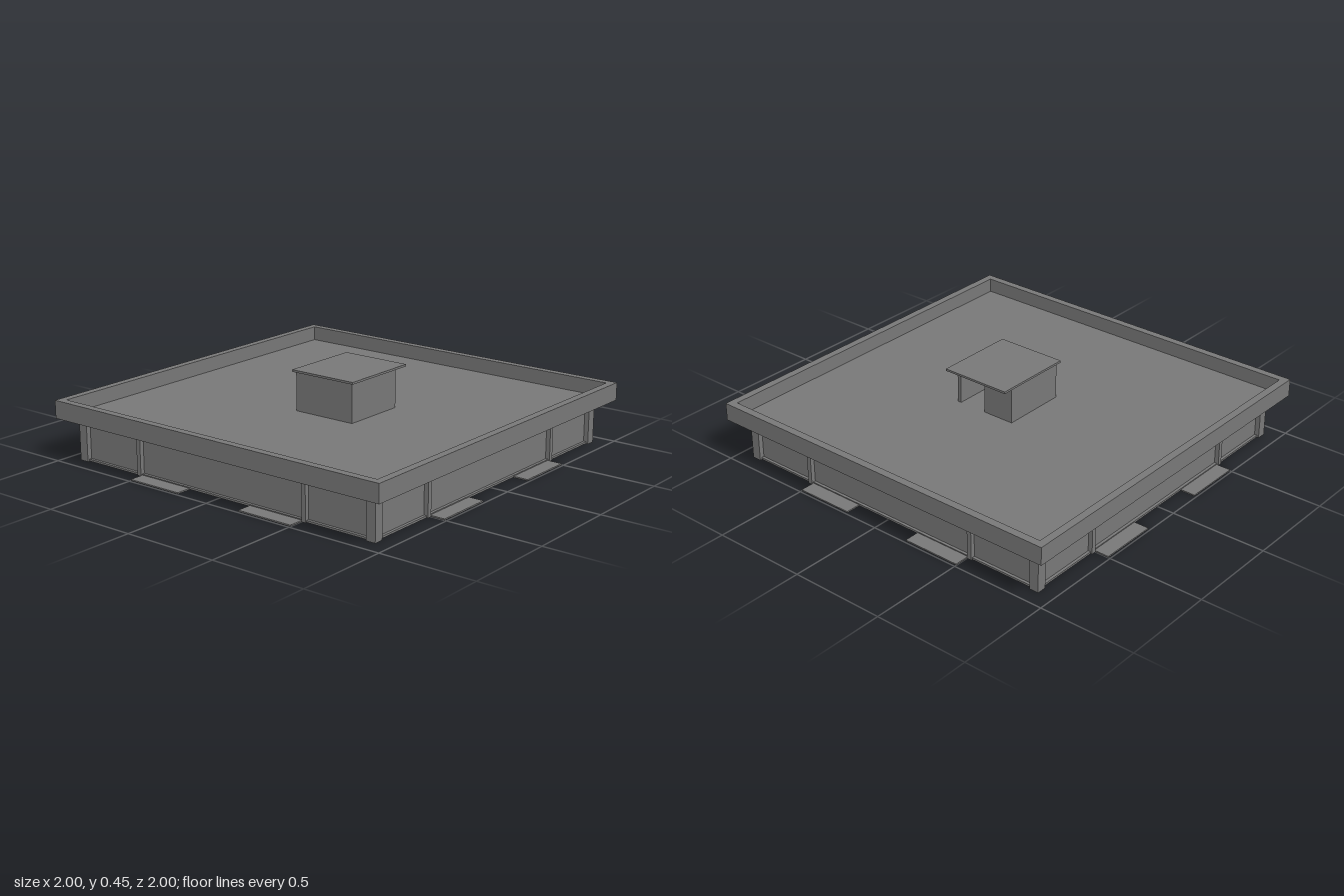
import * as THREE from 'three';

export function createModel() {
  const model = new THREE.Group();
  const concrete = new THREE.MeshStandardMaterial({ color: 0x777777 });
  concrete.name = 'concrete grey';

  // Box given by its minimum and maximum corners
  const box = (name, parent, x0, x1, y0, y1, z0, z1) => {
    const mesh = new THREE.Mesh(new THREE.BoxGeometry(x1 - x0, y1 - y0, z1 - z0), concrete);
    mesh.position.set((x0 + x1) / 2, (y0 + y1) / 2, (z0 + z1) / 2);
    mesh.name = name;
    parent.add(mesh);
    return mesh;
  };
  const group = (name) => {
    const g = new THREE.Group();
    g.name = name;
    model.add(g);
    return g;
  };

  // Ground floor in three strips
  const floor = group('groundFloor');
  for (const [a, b] of [[-0.91, -0.18], [-0.18, 0.18], [0.18, 0.91]]) {
    box('floorStrip', floor, a, b, 0.002, 0.012, -0.91, 0.91);
  }

  // Corner posts
  const posts = group('cornerPosts');
  for (const x of [-0.895, 0.895]) {
    for (const z of [-0.895, 0.895]) {
      box('cornerPost', posts, x - 0.025, x + 0.025, 0, 0.22, z - 0.025, z + 0.025);
    }
  }

  // Each side: recessed wall, two slim pilasters and two doorsteps
  for (const [i, name] of ['front', 'left', 'back', 'right'].entries()) {
    const side = group(name + 'Facade');
    box('wall', side, -0.88, 0.88, 0.01, 0.22, 0.87, 0.895);
    for (const s of [-1, 1]) {
      const x = s * 0.515;
      box('pilaster', side, x - 0.012, x + 0.012, 0.002, 0.22, 0.89, 0.918);
      const step = s * 0.345;
      box('doorstep', side, step - 0.155, step + 0.155, 0, 0.007, 0.88, 0.99);
    }
    side.rotation.y = i * Math.PI / 2;
  }

  // Flat roof with a raised parapet
  const roof = group('roof');
  box('roofSlab', roof, -0.97, 0.97, 0.22, 0.237, -0.97, 0.97);
  for (const s of [-0.98, 0.98]) {
    box('sideParapet', roof, s - 0.02, s + 0.02, 0.22, 0.313, -1, 1);
    box('endParapet', roof, -0.96, 0.96, 0.22, 0.313, s - 0.02, s + 0.02);
  }

  // Stair hut with a doorway in the back
  const hut = group('roofHut');
  const y0 = 0.236, y1 = 0.436;
  box('hutFrontWall', hut, -0.12, 0.23, y0, y1, 0.185, 0.205);
  box('hutLeftWall', hut, 0.21, 0.23, y0, y1, -0.145, 0.185);
  box('hutRightWall', hut, -0.12, -0.1, y0, y1, -0.145, 0.185);
  box('hutBackWall', hut, -0.1, 0.055, y0, y1, -0.145, -0.125);
  box('hutRoof', hut, -0.14, 0.24, y1, 0.447, -0.22, 0.213);

  return model;
}
